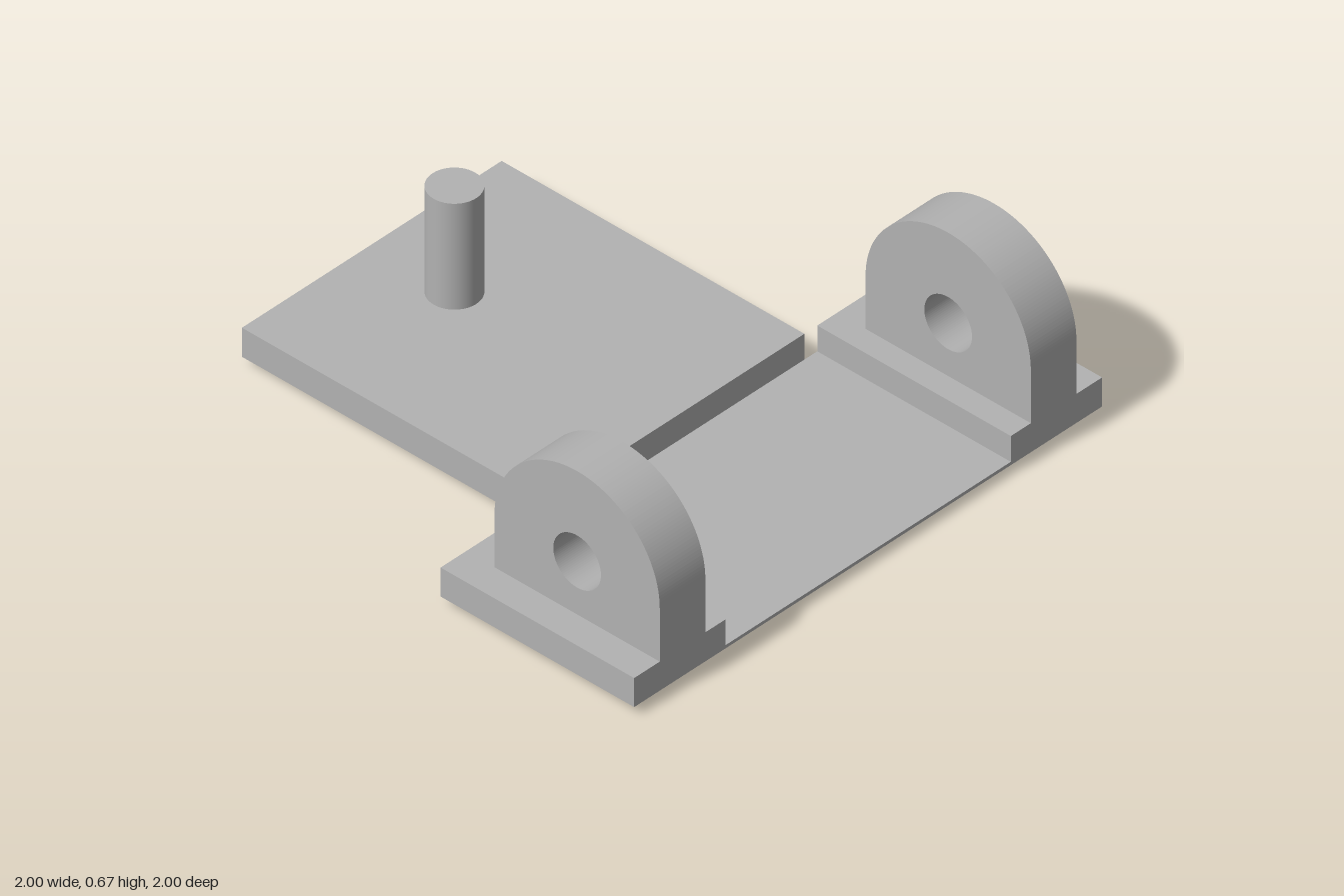
import * as THREE from 'three';

export function createModel() {
  const group = new THREE.Group();
  const grey = new THREE.MeshStandardMaterial({ color: 0xb2b2b2 });
  grey.name = 'plain grey';

  const add = (name, geometry) => {
    const mesh = new THREE.Mesh(geometry, grey);
    mesh.name = name;
    group.add(mesh);
    return mesh;
  };
  // Box given by its limits on each axis
  const slab = (name, x0, x1, y0, y1, z0, z1) =>
    add(name, new THREE.BoxGeometry(x1 - x0, y1 - y0, z1 - z0))
      .position.set((x0 + x1) / 2, (y0 + y1) / 2, (z0 + z1) / 2);

  const bottom = 0.033, top = 0.14;

  // Base: thick tongue and thin bridge between the two feet
  slab('tonguePlate', -1, 0.22, bottom, top, -0.555, 0.555);
  slab('bridgePlate', 0.22, 1, bottom, 0.045, -0.61, 0.61);

  // Upright pin on the tongue
  add('pin', new THREE.CylinderGeometry(0.088, 0.088, 0.39, 48))
    .position.set(-0.667, 0.335, 0);

  // Lug outline: round top, square shoulders, round belly below the foot
  const cx = 0.667, cy = 0.335, r = 0.333, ledge = 0.06;
  const a = Math.asin((cy - ledge) / r);
  const outline = new THREE.Shape();
  outline.moveTo(cx + r, ledge);
  outline.lineTo(cx + r, cy);
  outline.absarc(cx, cy, r, 0, Math.PI, false);
  outline.lineTo(cx - r, ledge);
  outline.absarc(cx, cy, r, Math.PI + a, Math.PI * 2 - a, false);
  outline.closePath();
  const bore = new THREE.Path();
  bore.absarc(cx, cy, 0.096, 0, Math.PI * 2, true);
  outline.holes.push(bore);

  const lugGeometry = new THREE.ExtrudeGeometry(outline, {
    depth: 0.195, bevelEnabled: false, curveSegments: 48,
  });
  lugGeometry.translate(0, 0, -0.0975);

  // Mirrored feet and lugs
  for (const [side, s] of [['front', 1], ['back', -1]]) {
    slab(side + 'Foot', 0.22, 1, bottom, top, s > 0 ? 0.61 : -1, s > 0 ? 1 : -0.61);
    add(side + 'Lug', lugGeometry).position.z = s * 0.793;
  }
  return group;
}
